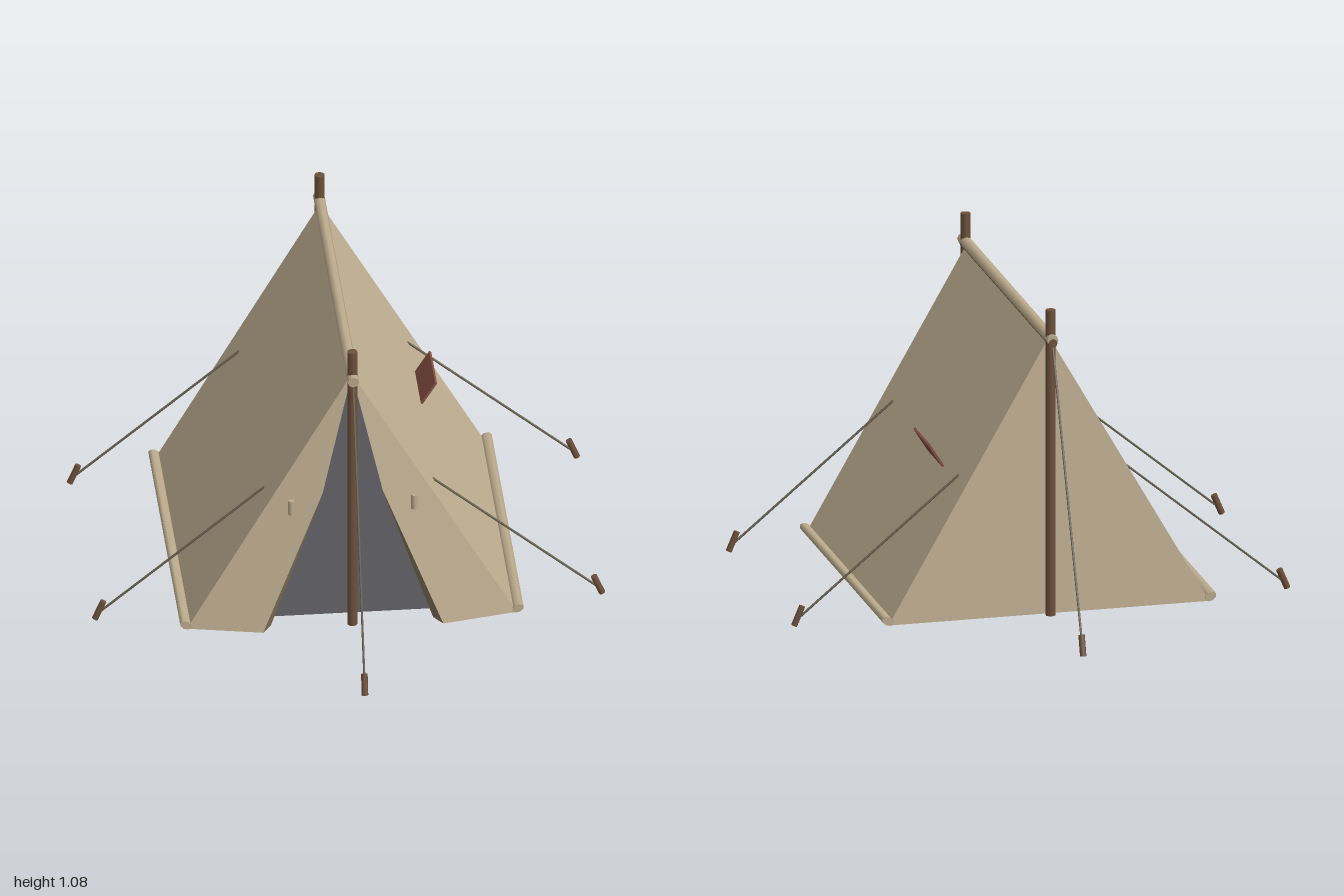
import * as THREE from 'three';

const mat = (name, color, extra = {}) => {
  const m = new THREE.MeshStandardMaterial({ color, ...extra });
  m.name = name;
  return m;
};

export function createModel() {
  const tent = new THREE.Group();
  tent.name = 'tent';
  const two = { side: THREE.DoubleSide };
  const canvas = mat('canvas', 0xc4b395, two);
  const trim = mat('trim', 0xbcab8d);
  const fold = mat('foldedEdge', 0x87765d, two);
  const lining = mat('darkLining', 0x64646b);
  const wood = mat('wood', 0x6e513b);
  const rope = mat('rope', 0x6b6250);
  const red = mat('redBrown', 0x854f42);

  const add = (name, geometry, material) => {
    const mesh = new THREE.Mesh(geometry, material);
    mesh.name = name;
    tent.add(mesh);
    return mesh;
  };

  // Round bar between two points
  const bar = (name, a, b, radius, material, sides = 8) => {
    const from = new THREE.Vector3(...a), to = new THREE.Vector3(...b);
    const dir = to.clone().sub(from);
    const mesh = add(name, new THREE.CylinderGeometry(radius, radius, dir.length(), sides), material);
    mesh.position.copy(from).add(to).multiplyScalar(0.5);
    mesh.quaternion.setFromUnitVectors(new THREE.Vector3(0, 1, 0), dir.normalize());
    return mesh;
  };

  // Flat sheet fanned out from its first corner
  const sheet = (name, corners, material, mirrored = false) => {
    const points = [];
    for (let i = 1; i < corners.length - 1; i++) {
      const [b, c] = mirrored ? [i + 1, i] : [i, i + 1];
      points.push(...corners[0], ...corners[b], ...corners[c]);
    }
    const g = new THREE.BufferGeometry();
    g.setAttribute('position', new THREE.Float32BufferAttribute(points, 3));
    g.computeVertexNormals();
    return add(name, g, material);
  };

  const base = 0.02, ridge = 0.98, half = 0.55, end = 0.54;

  for (const s of [1, -1]) {
    const side = s > 0 ? 'left' : 'right';
    const flip = s < 0;

    // Sloping wall
    sheet(side + 'Wall', [
      [s * half, base, end], [s * half, base, -end], [0, ridge, -end], [0, ridge, end],
    ], canvas, flip);

    // Front flap bulging forward around the opening
    const apex = [0, ridge, end];
    const middle = [s * 0.10, 0.54, 0.57];
    const inner = [s * 0.30, base, 0.59];
    sheet(side + 'UpperFlap', [apex, middle, [s * half, base, end]], canvas, flip);
    sheet(side + 'LowerFlap', [middle, inner, [s * half, base, end]], canvas, flip);

    // Edge of the flap turned inwards
    sheet(side + 'FlapFold', [middle, [s * 0.27, base, 0.545], inner], fold, flip);

    // Toggle on the flap
    bar(side + 'Toggle', [s * 0.205, 0.468, 0.577], [s * 0.205, 0.52, 0.575], 0.011, trim);

    // Rolled hem
    const hem = add(side + 'Hem', new THREE.CylinderGeometry(0.021, 0.021, 1.09, 8), trim);
    hem.geometry.scale(1, 1, 0.7).rotateX(Math.PI / 2).rotateZ(s * 0.5);
    hem.position.set(s * 0.553, 0.036, 0);

    // Side guy ropes and stakes
    for (const z of [0.43, -0.43]) {
      bar(side + 'GuyRope', [s * 0.28, 0.49, z], [s * 0.83, 0.035, z], 0.004, rope, 6);
      bar(side + 'Stake', [s * 0.817, 0.076, z], [s * 0.845, 0.01, z], 0.011, wood);
    }
  }

  // Back wall
  sheet('backWall', [[half, base, -end], [-half, base, -end], [0, ridge, -end]], canvas);

  // Dark panel behind the opening
  const triangle = new THREE.Shape([
    new THREE.Vector2(-0.5, base), new THREE.Vector2(0.5, base), new THREE.Vector2(0, 0.92),
  ]);
  add('innerPanel', new THREE.ExtrudeGeometry(triangle, { depth: 0.035, bevelEnabled: false }), lining)
    .position.z = 0.455;

  // Ridge pole in its sleeve
  bar('ridgePole', [0, 0.972, -0.594], [0, 0.972, 0.594], 0.015, wood);
  bar('ridgeSleeve', [0, 0.981, -0.59], [0, 0.981, 0.596], 0.019, trim);

  // Upright poles, end guy ropes and stakes
  for (const s of [1, -1]) {
    const where = s > 0 ? 'front' : 'back';
    bar(where + 'Pole', [0, base, s * 0.56], [0, 1.08, s * 0.56], 0.017, wood, 10);
    bar(where + 'GuyRope', [0, 0.97, s * 0.585], [0, 0.04, s * 0.977], 0.004, rope, 6);
    bar(where + 'Stake', [0, 0.074, s * 0.968], [0, 0.005, s * 0.99], 0.011, wood);
  }

  // Window flap propped open on the left wall
  const windowFlap = add('windowFlap', new THREE.BoxGeometry(0.008, 0.092, 0.2), red);
  windowFlap.position.set(0.316, 0.51, -0.17);
  windowFlap.rotation.z = -0.56;

  return tent;
}
